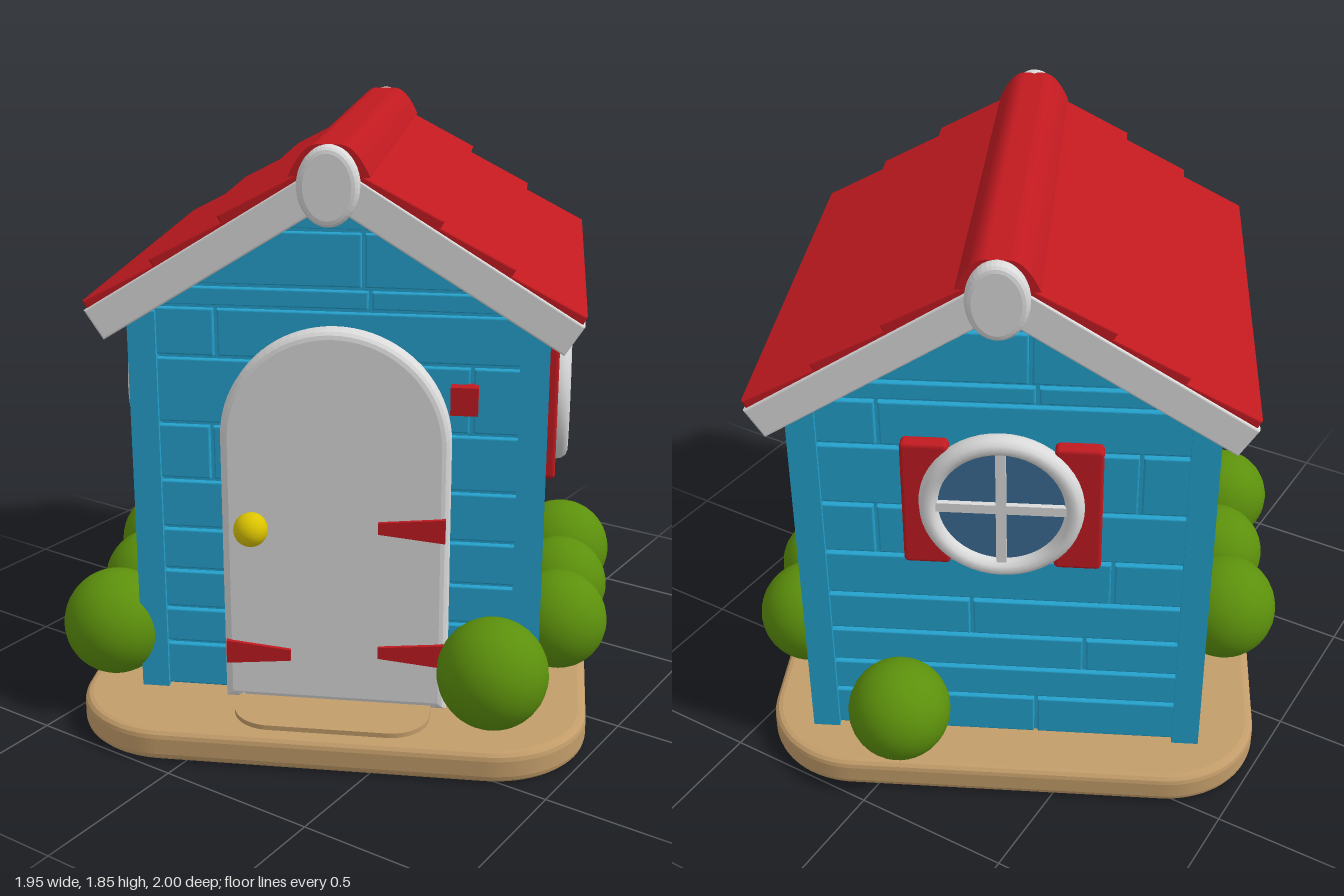
import * as THREE from 'three';

const paint = (name, color) => Object.assign(new THREE.MeshStandardMaterial({ color }), { name });

export function createModel() {
  const blue = paint('wallBlue', 0x24a0cc), red = paint('roofRed', 0xc01a20), white = paint('trimWhite', 0xdadada);
  const green = paint('bushGreen', 0x5c900c), tan = paint('baseTan', 0xc39d6a);
  const glass = paint('glassBlue', 0x3a6a94), gold = paint('knobYellow', 0xdcc400);

  const root = new THREE.Group();
  root.name = 'playhouse';
  const turned = new THREE.Group();
  turned.name = 'turnedHouse';
  turned.rotation.y = 0.46;
  root.add(turned);
  const house = new THREE.Group();
  house.name = 'house';
  house.position.x = 0.015;
  turned.add(house);

  const add = (parent, name, geo, mat, x = 0, y = 0, z = 0) => {
    const m = new THREE.Mesh(geo, mat);
    m.name = name;
    m.position.set(x, y, z);
    parent.add(m);
    return m;
  };
  const box = (parent, name, mat, w, h, d, x, y, z) => add(parent, name, new THREE.BoxGeometry(w, h, d), mat, x, y, z);
  const poly = (pts) => new THREE.Shape(pts.map(([x, y]) => new THREE.Vector2(x, y)));
  // Extrudes a shape from z0 to z1, with an optional bevel kept inside those limits
  const slab = (parent, name, mat, shape, z0, z1, bevel = 0) => {
    const geo = new THREE.ExtrudeGeometry(shape, {
      depth: z1 - z0 - 2 * bevel, curveSegments: 20, bevelEnabled: bevel > 0,
      bevelSize: bevel, bevelThickness: bevel, bevelOffset: -bevel, bevelSegments: 3,
    });
    return add(parent, name, geo, mat, 0, 0, z0 + bevel);
  };
  const roundRect = (hx, hy, r) => {
    const s = new THREE.Shape();
    s.absarc(hx - r, hy - r, r, 0, Math.PI / 2);
    s.absarc(r - hx, hy - r, r, Math.PI / 2, Math.PI);
    s.absarc(r - hx, r - hy, r, Math.PI, Math.PI * 1.5);
    s.absarc(hx - r, r - hy, r, Math.PI * 1.5, Math.PI * 2);
    return s;
  };
  const arch = (w, y0, spring) => {
    const s = new THREE.Shape();
    s.moveTo(-w, y0);
    s.lineTo(w, y0);
    s.lineTo(w, spring);
    s.absarc(0, spring, w, 0, Math.PI);
    s.closePath();
    return s;
  };

  // Ground slab and door step
  slab(turned, 'base', tan, roundRect(0.79, 0.835, 0.3), 0, 0.1, 0.025).rotation.x = -Math.PI / 2;
  turned.children.at(-1).position.set(0, 0.025, 0);
  const step = slab(house, 'doorStep', tan, roundRect(0.3, 0.14, 0.12), 0, 0.02);
  step.rotation.x = -Math.PI / 2;
  step.position.set(0, 0.095, 0.64);

  // Wall core
  const front = 0.52, back = -0.64, half = 0.59, slope = 0.645;
  const gable = (y) => Math.min(half, (1.73 - y) / slope);
  slab(house, 'walls', blue, poly([[-half, 0.09], [half, 0.09], [half, 1.345], [0, 1.725], [-half, 1.345]]), back, front);

  // Clapboards: each row is cut at one joint, and end rows follow the gable
  const rows = [0.1, 0.25, 0.37, 0.5, 0.64, 0.8, 0.98, 1.19, 1.345, 1.41, 1.58, 1.7];
  const joints = [0.1, -0.3, 0.25, -0.1, 0.33, -0.38, 0.4, -0.36, 0.1, 0.08, 0];
  const gap = 0.006;
  for (let i = 0; i < rows.length - 1; i++) {
    const a = rows[i] + gap, b = rows[i + 1] - gap, j = joints[i];
    const wa = gable(a), wb = gable(b);
    for (const end of [1, -1]) {
      const k = j * end;
      const parts = wb < 0.1
        ? [[[-wa, a], [wa, a], [wb, b], [-wb, b]]]
        : [[[-wa, a], [k - gap, a], [k - gap, b], [-wb, b]], [[k + gap, a], [wa, a], [wb, b], [k + gap, b]]];
      for (const p of parts) {
        if (end > 0) slab(house, 'frontBoard', blue, poly(p), front - 0.005, front + 0.018, 0.005);
        else slab(house, 'backBoard', blue, poly(p), back - 0.018, back + 0.005, 0.005);
      }
    }
    if (b < 1.345) {
      for (const side of [1, -1]) {
        for (const [z0, z1] of [[back, j - gap], [j + gap, front]]) {
          box(house, 'sideBoard', blue, 0.024, b - a, z1 - z0, side * (half + 0.004), (a + b) / 2, (z0 + z1) / 2);
        }
      }
    }
  }
  for (const x of [-0.58, 0.58]) {
    for (const z of [front - 0.01, back + 0.01]) box(house, 'cornerPost', blue, 0.085, 1.24, 0.085, x, 0.71, z);
  }

  // Roof: three overlapping planks on each slope under a ridge cap
  const z0 = -0.75, z1 = 0.66;
  const top = (x) => 1.835 - slope * x;
  for (const side of [1, -1]) {
    for (let i = 0; i < 3; i++) {
      const xi = 0.06 + i * 0.2, xo = xi + 0.26;
      const pts = [[xi, top(xi) - 0.02], [xo, top(xo) + 0.012], [xo - 0.05, top(xo) - 0.085], [xi, top(xi) - 0.115]]
        .map(([x, y]) => [x * side, y]);
      slab(house, 'roofPlank', red, poly(pts), z0, z1, 0.006);
    }
    // Gable trim boards
    const trim = [[0, 1.8], [0.715, top(0.715) - 0.018], [0.66, 1.27], [0, 1.68]].map(([x, y]) => [x * side, y]);
    slab(house, 'frontTrim', white, poly(trim), z1 - 0.07, z1 + 0.008, 0.006);
    slab(house, 'backTrim', white, poly(trim), z0 - 0.008, z0 + 0.07, 0.006);
  }
  const cap = new THREE.Shape();
  cap.moveTo(-0.115, 1.755);
  cap.lineTo(0.115, 1.755);
  cap.quadraticCurveTo(0.075, 1.845, 0.03, 1.845);
  cap.lineTo(-0.03, 1.845);
  cap.quadraticCurveTo(-0.075, 1.845, -0.115, 1.755);
  slab(house, 'ridgeCap', red, cap, z0, z1);
  for (const [z, d] of [[z1 + 0.01, 0.07], [z0 - 0.01, 0.06]]) {
    const oval = new THREE.Shape();
    oval.absellipse(0, 1.733, 0.088, 0.113, 0, Math.PI * 2);
    slab(house, 'ridgeKnob', white, oval, z - d / 2, z + d / 2, 0.02);
  }

  // Arched door frame
  const frame = arch(0.345, 0.1, 0.955);
  frame.holes.push(arch(0.265, 0.1, 0.955));
  slab(house, 'doorFrame', white, frame, 0.51, 0.6, 0.025);

  // Door leaf: three planks below, pierced panel above
  for (const [a, b] of [[-0.265, -0.105], [-0.098, 0.118], [0.125, 0.265]]) {
    box(house, 'doorPlank', white, b - a, 0.64, 0.03, (a + b) / 2, 0.42, 0.555);
  }
  const panel = arch(0.268, 0.73, 0.955);
  panel.holes.push(new THREE.Path().absarc(0, 0.945, 0.2, 0, Math.PI * 2, true));
  slab(house, 'doorPanel', white, panel, 0.535, 0.583);
  add(house, 'doorGlass', new THREE.CircleGeometry(0.21, 40), glass, 0, 0.945, 0.555);
  box(house, 'doorWindowBar', white, 0.035, 0.4, 0.025, 0, 0.945, 0.566);

  // Hinges taper away from the door edge
  for (const [side, y] of [[1, 0.7], [1, 0.29], [-1, 0.265]]) {
    const pts = [[0.135, y - 0.018], [0.335, y - 0.038], [0.335, y + 0.038], [0.135, y + 0.018]].map(([x, v]) => [x * side, v]);
    slab(house, 'hinge', red, poly(pts), 0.56, 0.612);
  }
  box(house, 'upperHinge', red, 0.08, 0.085, 0.05, 0.38, 1.095, 0.55);
  add(house, 'doorKnob', new THREE.SphereGeometry(0.052, 24, 16), gold, -0.245, 0.69, 0.64);
  const stem = add(house, 'knobStem', new THREE.CylinderGeometry(0.035, 0.045, 0.06, 20), gold, -0.245, 0.69, 0.6);
  stem.rotation.x = Math.PI / 2;

  // Round windows with shutters, built facing +z
  const roundWindow = (name, x, z, turn) => {
    const g = new THREE.Group();
    g.name = name;
    g.position.set(x, 1.02, z);
    g.rotation.y = turn;
    house.add(g);
    for (const s of [1, -1]) {
      const shutter = slab(g, 'shutter', red, roundRect(0.07, 0.21, 0.015), 0, 0.05, 0.01);
      shutter.position.x = s * 0.223;
    }
    const ring = add(g, 'windowRing', new THREE.TorusGeometry(0.213, 0.029, 12, 48), white, 0, 0.01, 0.05);
    ring.scale.z = 1.3;
    const pane = add(g, 'windowGlass', new THREE.CylinderGeometry(0.213, 0.213, 0.06, 40), glass, 0, 0.01, 0.025);
    pane.rotation.x = Math.PI / 2;
    box(g, 'windowBarUpright', white, 0.03, 0.41, 0.03, 0, 0.01, 0.057);
    box(g, 'windowBarLevel', white, 0.41, 0.03, 0.03, 0, 0.01, 0.057);
  };
  roundWindow('leftWindow', 0.6, 0.13, Math.PI / 2);
  roundWindow('rightWindow', -0.6, 0.13, -Math.PI / 2);
  roundWindow('backWindow', 0, back - 0.012, Math.PI);

  // Bushes around the walls
  const bushes = [
    [0.735, -0.08, 0.158], [0.615, -0.335, 0.157], [0.49, -0.595, 0.167], [0.75, 0.38, 0.168],
    [-0.71, 0.13, 0.175], [-0.55, 0.41, 0.165], [-0.425, 0.735, 0.168], [-0.035, -0.83, 0.16],
  ];
  for (const [x, z, r] of bushes) add(root, 'bush', new THREE.SphereGeometry(r, 32, 20), green, x, 0.112 + r, z);

  return root;
}
